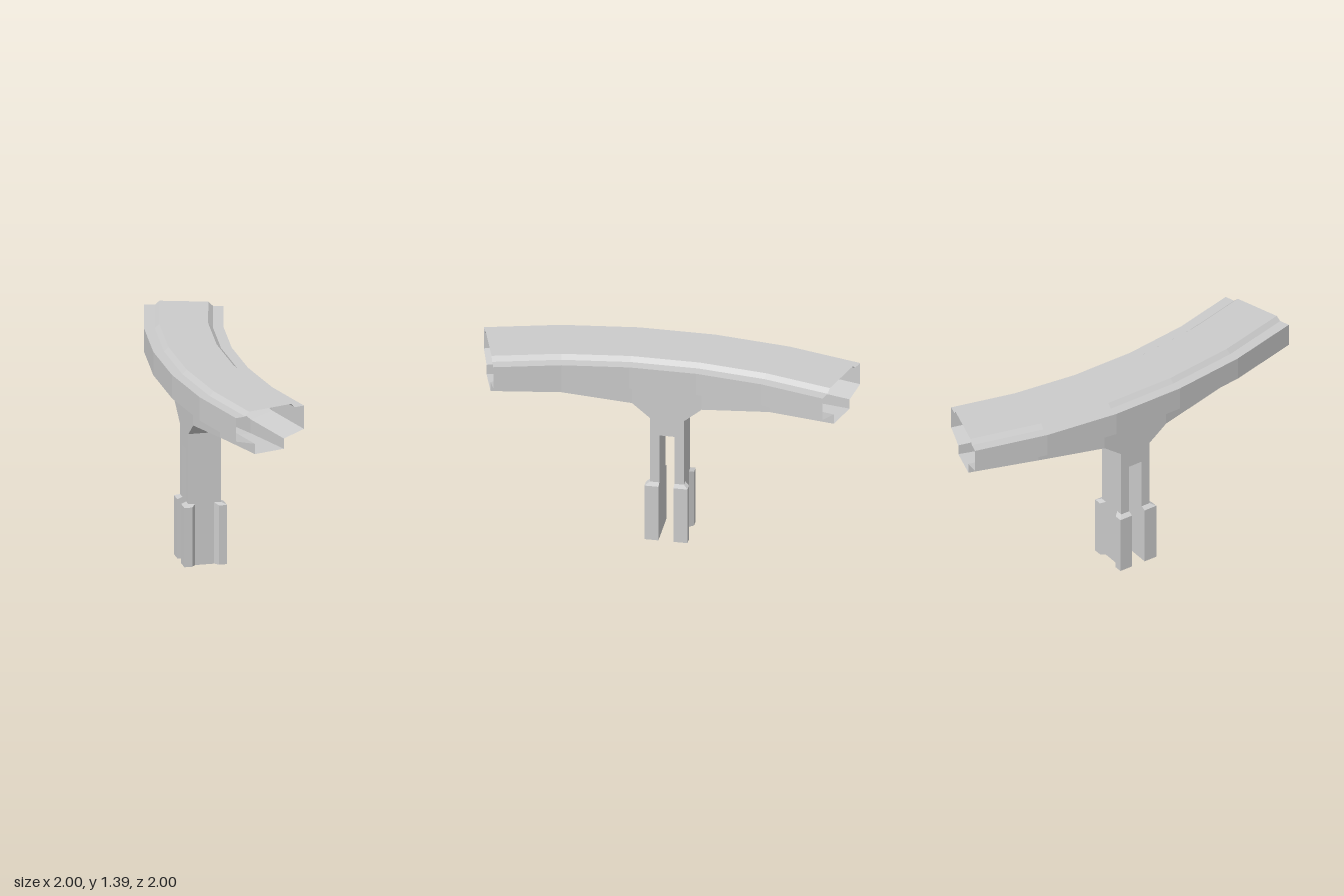
import * as THREE from 'three';

const D = Math.PI / 180;
const ARC_CENTRE = 3.79;          // distance from origin to the centre of the curve
const R_IN = 3.631, R_OUT = 4.15; // deck edges
const W_IN = 3.785, W_OUT = 4.005; // web (spine) under the deck

const material = new THREE.MeshStandardMaterial({
  color: 0xcccccc, flatShading: true, side: THREE.DoubleSide,
});

// Open-ended shell through closed rings of [x, y, z] points
function loft(name, rings, skip = () => false) {
  const pos = [];
  for (let k = 0; k < rings.length - 1; k++) {
    const n = rings[k].length;
    for (let i = 0; i < n; i++) {
      if (skip(k, i)) continue;
      const j = (i + 1) % n;
      const a = rings[k][i], b = rings[k][j], c = rings[k + 1][j], d = rings[k + 1][i];
      pos.push(...a, ...d, ...c, ...a, ...c, ...b);
    }
  }
  const geo = new THREE.BufferGeometry();
  geo.setAttribute('position', new THREE.Float32BufferAttribute(pos, 3));
  geo.computeVertexNormals();
  const mesh = new THREE.Mesh(geo, material);
  mesh.name = name;
  return mesh;
}

const onArc = (r, y, deg) => [r * Math.sin(deg * D), y, r * Math.cos(deg * D) - ARC_CENTRE];
const atHeight = (y, pts) => pts.map(([x, z]) => [x, y, z]);

// Curved hollow beam: raised deck, side walls, and a web that deepens to the middle
function makeTrack() {
  const stations = [[17.5, 1.09], [10.5, 1.065], [3.5, 1.0], [-3.5, 1.0], [-10.5, 1.065], [-17.5, 1.09]];
  const rings = stations.map(([deg, bottom]) => [
    [R_OUT, 1.36], [R_OUT, 1.2], [W_OUT, 1.16], [W_OUT, bottom],
    [W_IN, bottom], [W_IN, 1.16], [R_IN, 1.2], [R_IN, 1.36],
    [R_IN + 0.07, 1.36], [R_IN + 0.1, 1.388], [R_OUT - 0.1, 1.388], [R_OUT - 0.07, 1.36],
  ].map(([r, y]) => onArc(r, y, deg)));
  // the middle of the web floor opens into the column
  return loft('curvedTrack', rings, (k, i) => k === 2 && i === 3);
}

function makeColumn() {
  const group = new THREE.Group();
  group.name = 'supportColumn';
  const h = 0.113;                                 // half width of the column
  const zOut = W_OUT * Math.cos(3.5 * D) - ARC_CENTRE;
  const zIn = W_IN * Math.cos(3.5 * D) - ARC_CENTRE;
  const zMid = (zOut + zIn) / 2, d = (zOut - zIn) / 2;

  // Solid head flaring into the web
  const square = [[-h, zIn], [h, zIn], [h, zOut], [-h, zOut]];
  group.add(loft('columnHead', [
    atHeight(0.775, square),
    atHeight(0.9, square),
    [onArc(W_IN, 1, -3.5), onArc(W_IN, 1, 3.5), onArc(W_OUT, 1, 3.5), onArc(W_OUT, 1, -3.5)],
  ]));

  // Roof of the slot between the legs
  const roof = new THREE.Mesh(new THREE.PlaneGeometry(0.1, 2 * d), material);
  roof.rotation.x = Math.PI / 2;
  roof.position.set(0, 0.775, zMid);
  roof.name = 'slotRoof';
  group.add(roof);

  // Two mirrored legs, with chamfered corner pads at the foot
  const s = 0.05, p = 0.143;
  const pad = [[s, -p], [p, -p], [p, -0.09], [h, -0.064], [h, 0.064], [p, 0.09], [p, p], [s, p]];
  const shaft = [[s, -d], [h, -d], [h, -0.064], [h, -0.064], [h, 0.064], [h, 0.064], [h, d], [s, d]];
  for (const side of [1, -1]) {
    const section = (y, pts) => {
      const ring = atHeight(y, pts.map(([x, z]) => [x * side, z + zMid]));
      return side > 0 ? ring : ring.reverse();
    };
    group.add(loft(side > 0 ? 'leftLeg' : 'rightLeg', [
      section(0, pad), section(0.405, pad), section(0.42, shaft), section(0.775, shaft),
    ]));
  }
  return group;
}

export function createModel() {
  const model = new THREE.Group();
  model.name = 'curvedTrackSection';
  const body = new THREE.Group();
  body.name = 'trackAndSupport';
  body.add(makeTrack(), makeColumn());
  body.rotation.y = -Math.PI / 4; // the curve runs diagonally
  model.add(body);
  return model;
}
